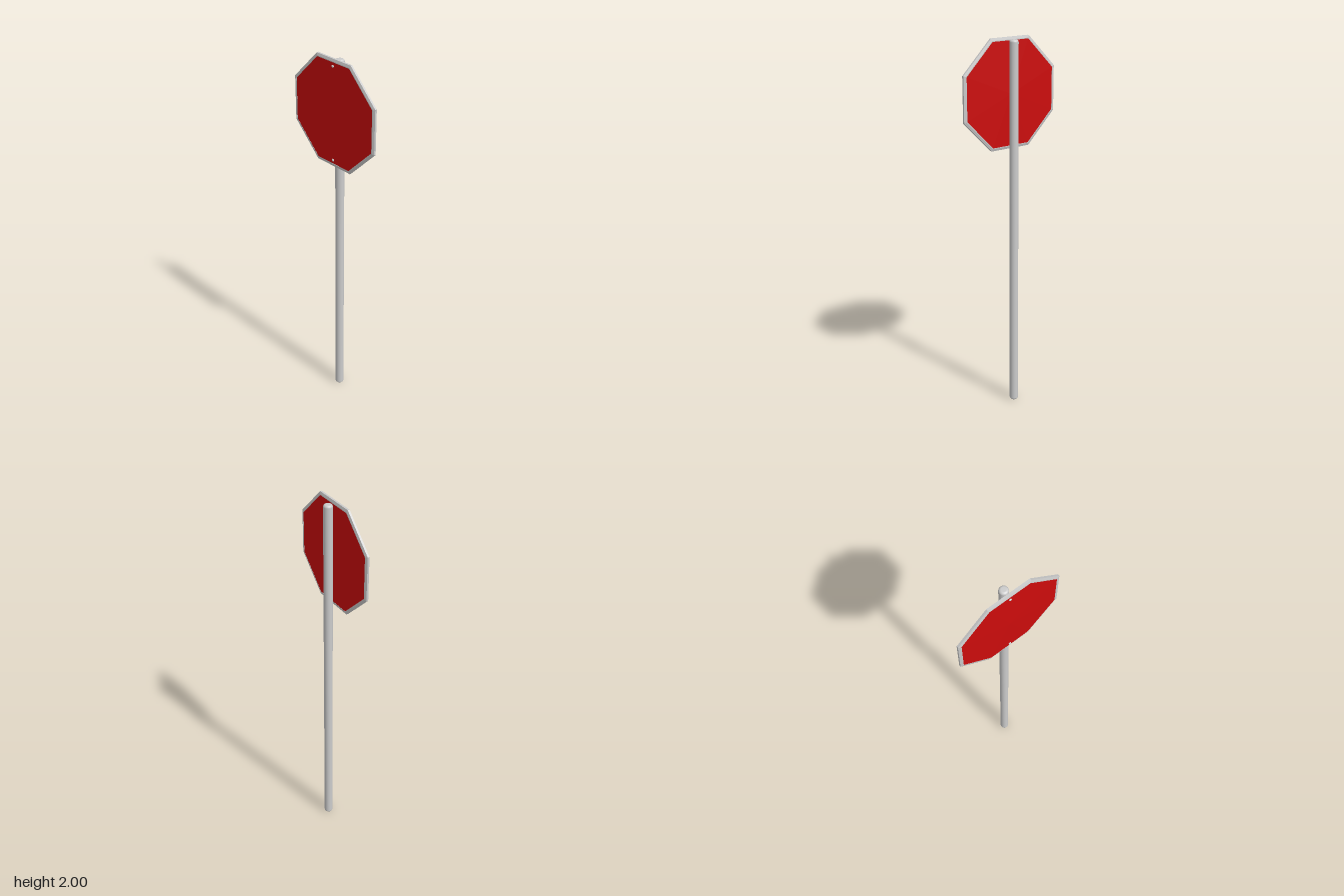
import * as THREE from 'three';

const SIGN_Y = 1.72;
const SIGN_Z = 0.021;

// Eight-sided solid facing z, from [apothem, z] pairs running back to front
function octagon(name, profile, material) {
  const points = profile.map(([a, z]) => new THREE.Vector2(a / Math.cos(Math.PI / 8), z));
  const geometry = new THREE.LatheGeometry(points, 8, Math.PI / 8);
  geometry.rotateX(Math.PI / 2);
  const mesh = new THREE.Mesh(geometry, material);
  mesh.name = name;
  mesh.position.set(0, SIGN_Y, SIGN_Z);
  return mesh;
}

export function createModel() {
  const group = new THREE.Group();
  group.name = 'roadSign';
  const metal = new THREE.MeshStandardMaterial({ color: 0xcccccc });
  const flatMetal = new THREE.MeshStandardMaterial({ color: 0xcccccc, flatShading: true });
  const red = new THREE.MeshStandardMaterial({ color: 0xcc0c0c, flatShading: true });

  // Round post with softly rounded ends
  const r = 0.023, top = 1.99, round = 0.012;
  const profile = [new THREE.Vector2(0, 0)];
  for (let i = 0; i <= 5; i++) {
    const a = (i / 5) * Math.PI / 2;
    profile.push(new THREE.Vector2(r - round + round * Math.sin(a), round * (1 - Math.cos(a))));
  }
  for (let i = 0; i <= 5; i++) {
    const a = (i / 5) * Math.PI / 2;
    profile.push(new THREE.Vector2(r - round + round * Math.cos(a), top - round * (1 - Math.sin(a))));
  }
  profile.push(new THREE.Vector2(0, top));
  const post = new THREE.Mesh(new THREE.LatheGeometry(profile, 32), metal);
  post.name = 'post';
  post.position.z = -0.015;
  group.add(post);

  // Bevelled grey rim around the plate
  group.add(octagon('rim', [
    [0.264, -0.009], [0.268, -0.009], [0.28, -0.005],
    [0.28, 0.005], [0.268, 0.009], [0.264, 0.009], [0.264, -0.009],
  ], flatMetal));

  // Red plate, slightly raised to the middle on both faces
  group.add(octagon('plate', [
    [0, -0.014], [0.265, -0.0085], [0.265, 0.0085], [0, 0.014],
  ], red));

  // Domed bolts at the top and bottom of the plate
  for (const side of [1, -1]) {
    const bolt = new THREE.Mesh(new THREE.SphereGeometry(0.007, 16, 10), metal);
    bolt.name = side > 0 ? 'upperBolt' : 'lowerBolt';
    bolt.scale.z = 0.7;
    bolt.position.set(0, SIGN_Y + side * 0.245, 0.031);
    group.add(bolt);
  }
  return group;
}
